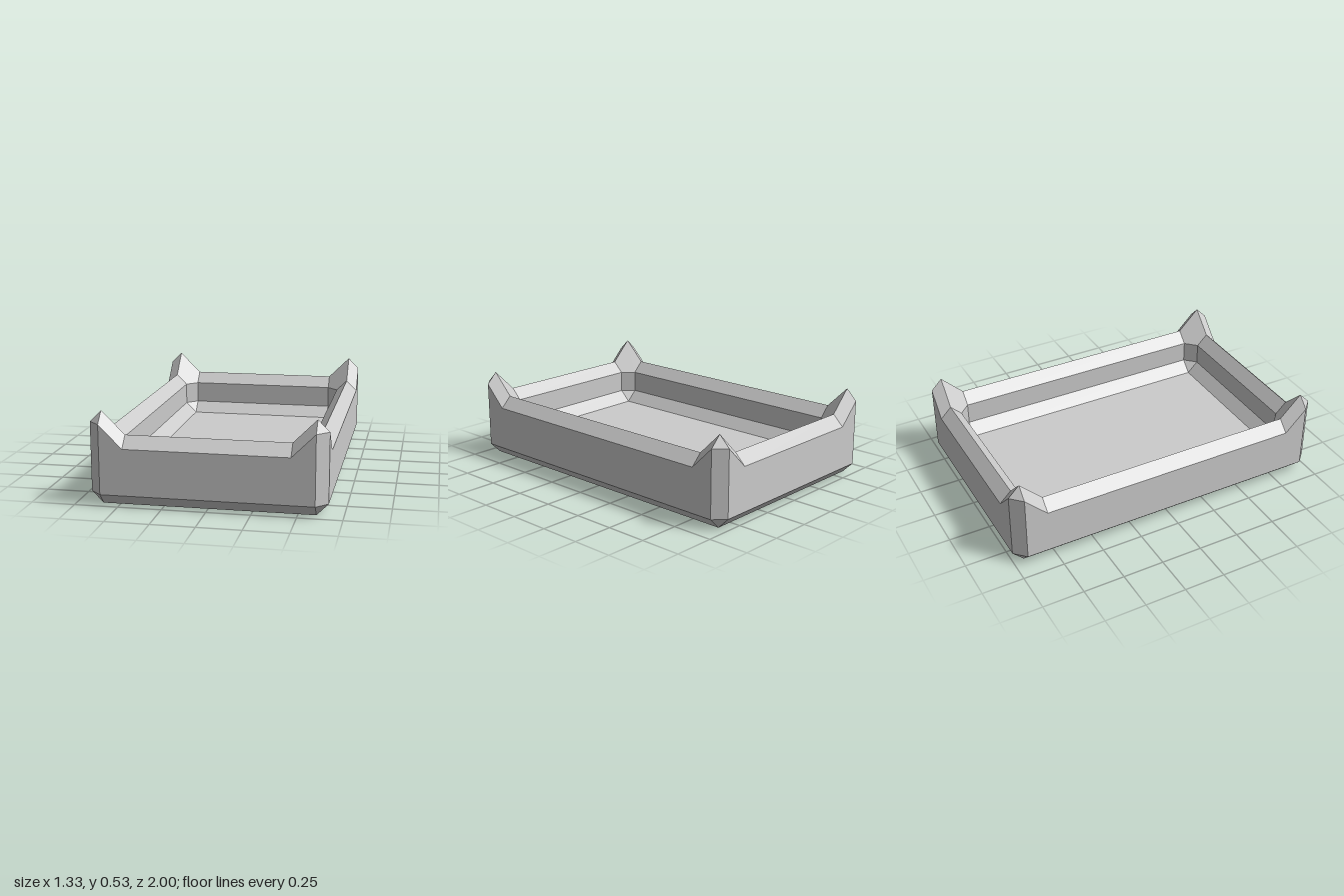
import * as THREE from 'three';

const U = 1 / 15; // all coordinates below are in this module size
const HX = 7, HZ = 12; // half extents of the inner floor

// Flat-shaded geometry from convex, counter-clockwise polygons
function facets(polys) {
  const pos = [];
  for (const p of polys) {
    for (let i = 1; i < p.length - 1; i++) {
      for (const v of [p[0], p[i], p[i + 1]]) pos.push(v[0] * U, v[1] * U, v[2] * U);
    }
  }
  const g = new THREE.BufferGeometry();
  g.setAttribute('position', new THREE.Float32BufferAttribute(pos, 3));
  g.computeVertexNormals();
  return g;
}

// Wall section as [outward offset from the floor edge, height]
const section = [[2, 0], [3, 1], [3, 5], [2, 6], [1, 5], [1, 3], [0, 2]];

function wallGeometry(half, offset) {
  const polys = [];
  for (let i = 0; i < section.length - 1; i++) {
    const [d0, y0] = section[i], [d1, y1] = section[i + 1];
    polys.push([
      [-half, y0, offset + d0], [half, y0, offset + d0],
      [half, y1, offset + d1], [-half, y1, offset + d1],
    ]);
  }
  return facets(polys);
}

// Raised, pointed corner; (0, y, 0) lies on the floor corner
function cornerPolys() {
  const side = [
    [[0, 0, 2], [2, 0, 2], [2, 1, 3], [0, 1, 3]], // lower bevel
    [[0, 1, 3], [2, 1, 3], [2, 7, 3], [0, 5, 3]], // outer face
    [[0, 5, 3], [2, 7, 3], [2, 8, 2], [0, 6, 2]], // upper bevel
  ];
  const otherSide = side.map((p) => p.map(([x, y, z]) => [z, y, x]).reverse());
  return [
    ...side, ...otherSide,
    [[2, 1, 3], [3, 1, 2], [3, 7, 2], [2, 7, 3]], // vertical chamfer
    [[2, 7, 3], [3, 7, 2], [2, 8, 2]], // tip
    [[2, 0, 2], [3, 1, 2], [2, 1, 3]], // foot
    [[2, 6, 0], [1, 5, 0], [0, 5, 1], [0, 6, 2], [2, 8, 2]], // inner slope
    [[0, 5, 1], [1, 5, 0], [1, 3, 0], [0, 3, 1]], // inner chamfer
    [[0, 3, 1], [1, 3, 0], [0, 2, 0]], // floor bevel corner
  ];
}

export function createModel() {
  const group = new THREE.Group();
  group.name = 'tray';
  const gray = new THREE.MeshStandardMaterial({ color: 0xcccccc });
  gray.name = 'light gray';

  const add = (name, geometry, rotY = 0) => {
    const mesh = new THREE.Mesh(geometry, gray);
    mesh.name = name;
    mesh.rotation.y = rotY;
    group.add(mesh);
  };

  // Floor and underside
  add('floor', facets([[[-HX, 2, HZ], [HX, 2, HZ], [HX, 2, -HZ], [-HX, 2, -HZ]]]));
  const bx = HX + 2, bz = HZ + 2;
  add('underside', facets([[[-bx, 0, -bz], [bx, 0, -bz], [bx, 0, bz], [-bx, 0, bz]]]));

  // Straight walls
  const shortWall = wallGeometry(HX, HZ), longWall = wallGeometry(HZ, HX);
  add('frontWall', shortWall);
  add('backWall', shortWall, Math.PI);
  add('leftWall', longWall, Math.PI / 2);
  add('rightWall', longWall, -Math.PI / 2);

  // Four mirrored corners
  for (const sx of [-1, 1]) {
    for (const sz of [-1, 1]) {
      const polys = cornerPolys().map((p) => {
        const q = p.map(([x, y, z]) => [sx * (x + HX), y, sz * (z + HZ)]);
        return sx * sz < 0 ? q.reverse() : q;
      });
      add((sz > 0 ? 'front' : 'back') + (sx > 0 ? 'Left' : 'Right') + 'Corner', facets(polys));
    }
  }
  return group;
}
